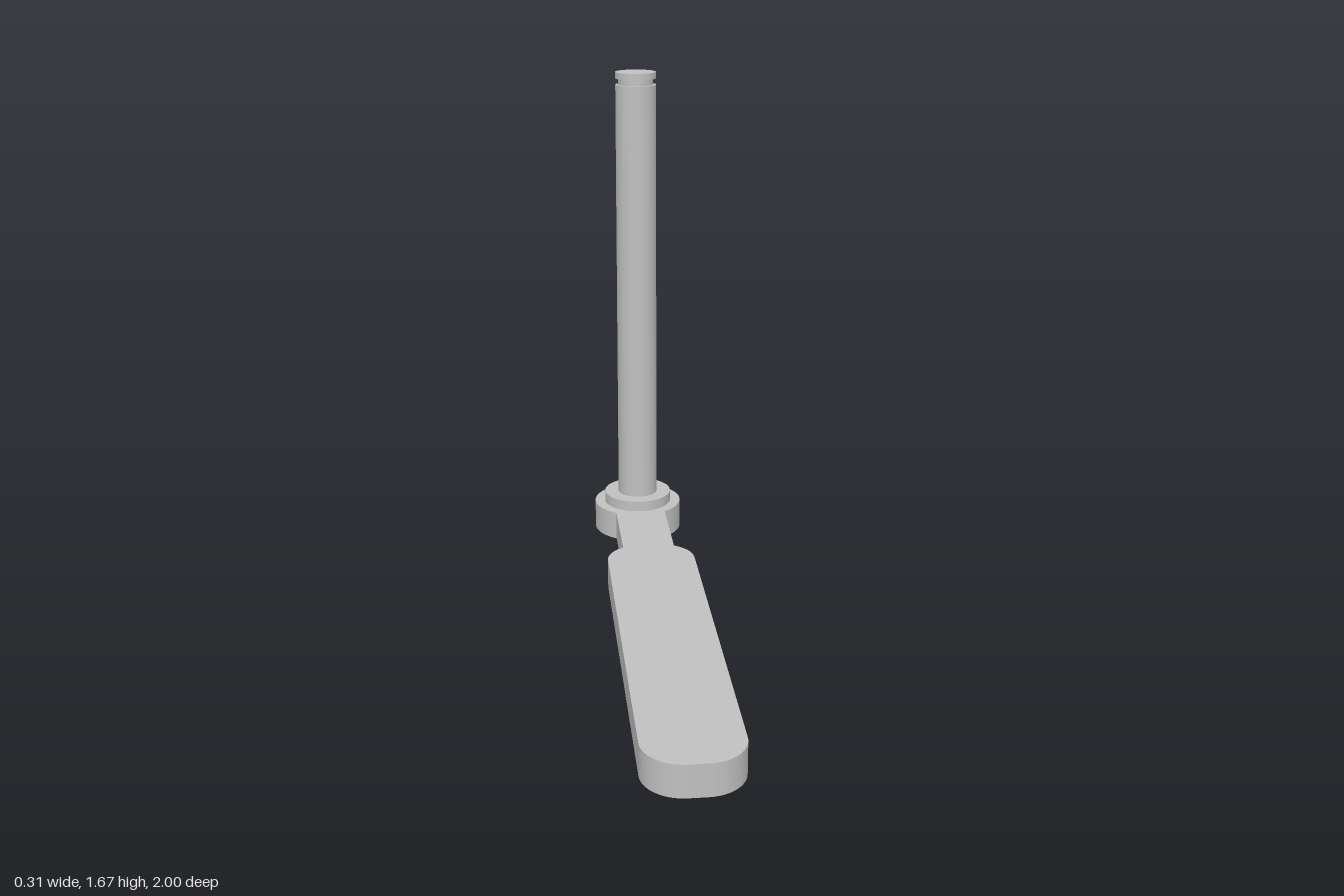
import * as THREE from 'three';
import { toCreasedNormals } from 'three/addons/utils/BufferGeometryUtils.js';

const PIN_Z = -0.844;

export function createModel() {
  const model = new THREE.Group();
  const steel = new THREE.MeshStandardMaterial({ color: 0xc0c0c0 });
  steel.name = 'steel';

  const add = (name, geometry) => {
    const mesh = new THREE.Mesh(toCreasedNormals(geometry, 0.5), steel);
    mesh.name = name;
    model.add(mesh);
  };

  // Flat lever outline (shape y is model z): round head, neck, rounded paddle
  const half = 0.147, neck = 0.088, head = 0.156, corner = 0.12, front = 1, back = -0.3;
  const inner = half - corner;
  const neckAngle = Math.acos((neck - inner) / corner);
  const headAngle = Math.acos(neck / head);
  const outline = new THREE.Shape();
  outline.moveTo(-inner, front);
  outline.absarc(-inner, front - corner, corner, Math.PI / 2, Math.PI, false);
  outline.absarc(-inner, back, corner, Math.PI, Math.PI + neckAngle, false);
  outline.absarc(0, PIN_Z, head, Math.PI - headAngle, 2 * Math.PI + headAngle, false);
  outline.absarc(inner, back, corner, -neckAngle, 0, false);
  outline.absarc(inner, front - corner, corner, 0, Math.PI / 2, false);
  outline.closePath();
  const lever = new THREE.ExtrudeGeometry(outline, { depth: 0.1, bevelEnabled: false, curveSegments: 32 });
  lever.rotateX(Math.PI / 2).translate(0, 0.1, 0);
  add('lever', lever);

  // Round stack standing on the head
  const disc = (name, radius, bottom, top) => add(name,
    new THREE.CylinderGeometry(radius, radius, top - bottom, 64).translate(0, (bottom + top) / 2, PIN_Z));
  disc('collar', 0.12, 0.1, 0.137);

  // Pin with a retaining groove below its end
  const profile = [[0, 0.137], [0.07, 0.137], [0.07, 1.625], [0.06, 1.625],
    [0.06, 1.646], [0.07, 1.646], [0.07, 1.668], [0, 1.668]];
  const pin = new THREE.LatheGeometry(profile.map(([r, y]) => new THREE.Vector2(r, y)), 64);
  add('groovedPin', pin.translate(0, 0, PIN_Z));

  return model;
}
